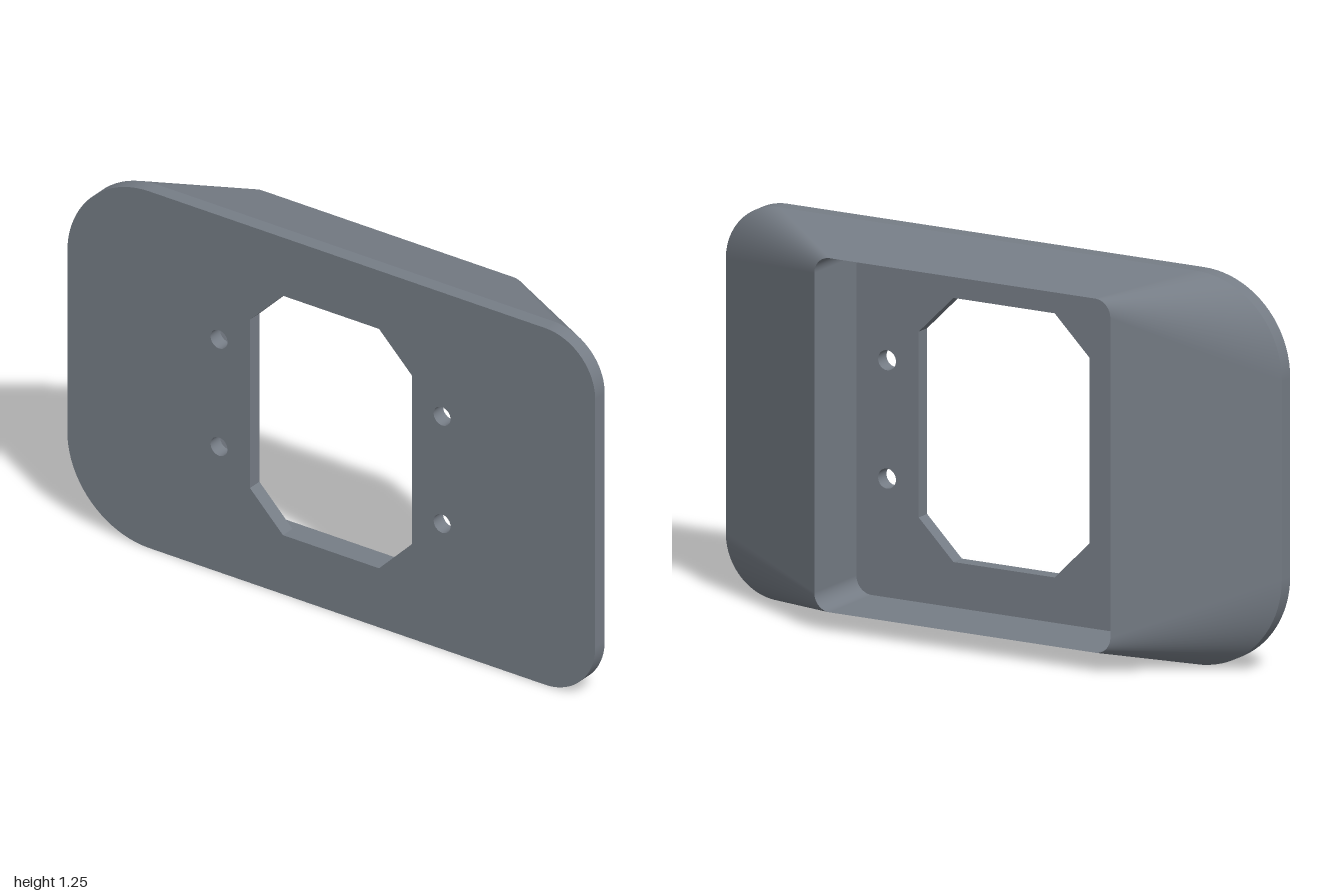
import * as THREE from 'three';

const FRONT = 0.15, FLOOR = 0.1, REAR = -0.15;

// Outline points run anticlockwise; each keeps the angle of its outward normal.
function roundedRect(x0, x1, y0, y1, rRight, rLeft, steps = 20) {
  const corners = [
    [x1 - rRight, y0 + rRight, rRight, -0.5], [x1 - rRight, y1 - rRight, rRight, 0],
    [x0 + rLeft, y1 - rLeft, rLeft, 0.5], [x0 + rLeft, y0 + rLeft, rLeft, 1],
  ];
  const ring = [];
  for (const [cx, cy, r, start] of corners) {
    for (let i = 0; i <= steps; i++) {
      const a = (start + 0.5 * i / steps) * Math.PI;
      ring.push({ x: cx + r * Math.cos(a), y: cy + r * Math.sin(a), a });
    }
  }
  return ring;
}

function circle(cx, cy, r, steps = 32) {
  return Array.from({ length: steps }, (_, i) => {
    const a = i / steps * Math.PI * 2;
    return { x: cx + r * Math.cos(a), y: cy + r * Math.sin(a), a };
  });
}

// Straight-sided outline: both ends of every edge share that edge's normal.
function polygon(points) {
  return points.flatMap(([x, y], i) => {
    const [u, v] = points[(i + 1) % points.length];
    const a = Math.atan2(u - x, y - v);
    return [{ x, y, a: Math.atan2(-(u - x), v - y) }, { x: u, y: v, a: Math.atan2(-(u - x), v - y) }];
  });
}

// Ruled wall between matching outlines; faces outward going back, inward going forward.
function wall(ringA, zA, ringB, zB) {
  const pos = [], nor = [], index = [], n = ringA.length;
  ringA.forEach((p, i) => {
    const q = ringB[i];
    const tangent = new THREE.Vector3(-Math.sin(p.a), Math.cos(p.a), 0);
    const normal = new THREE.Vector3(q.x - p.x, q.y - p.y, zB - zA).cross(tangent).normalize();
    pos.push(p.x, p.y, zA, q.x, q.y, zB);
    nor.push(...normal.toArray(), ...normal.toArray());
    const a = 2 * i, c = 2 * ((i + 1) % n);
    index.push(a, a + 1, c, c, a + 1, c + 1);
  });
  const g = new THREE.BufferGeometry();
  g.setAttribute('position', new THREE.Float32BufferAttribute(pos, 3));
  g.setAttribute('normal', new THREE.Float32BufferAttribute(nor, 3));
  g.setIndex(index);
  return g;
}

// Flat sheet with holes, facing forward or backward.
function sheet(ring, holes, z, backward = false) {
  const s = backward ? -1 : 1;
  const points = (r) => r.map((p) => new THREE.Vector2(s * p.x, p.y));
  const shape = new THREE.Shape(points(ring));
  holes.forEach((h) => shape.holes.push(new THREE.Path(points(h))));
  const g = new THREE.ShapeGeometry(shape);
  if (backward) g.rotateY(Math.PI);
  return g.translate(0, 0, z);
}

export function createModel() {
  const group = new THREE.Group();
  group.name = 'mountingBezel';
  const grey = new THREE.MeshStandardMaterial({ color: 0x767d86 });
  grey.name = 'slate grey';
  const add = (name, geometry) => {
    const mesh = new THREE.Mesh(geometry, grey);
    mesh.name = name;
    group.add(mesh);
  };

  const outer = roundedRect(-1, 1, 0, 1.25, 0.19, 0.31);
  const inner = roundedRect(-0.535, 0.53, 0.063, 1.188, 0.055, 0.055);
  const opening = polygon([
    [-0.183, 0.207], [0.181, 0.207], [0.306, 0.332], [0.306, 0.922],
    [0.181, 1.046], [-0.183, 1.046], [-0.308, 0.922], [-0.308, 0.332],
  ]);
  const screwHoles = [-0.425, 0.42].flatMap((x) => [0.44, 0.816].map((y) => circle(x, y, 0.032)));
  const octagon = opening.filter((_, i) => i % 2 === 0);
  const cutouts = [octagon, ...screwHoles];

  // Front plate and its rim
  add('frontFace', sheet(outer, cutouts, FRONT));
  add('plateRim', wall(outer, FRONT, outer, FLOOR));

  // Sloping shell that narrows to a sharp rear edge
  add('slopedShell', wall(outer, FLOOR, inner, REAR));

  // Rear recess
  add('recessWall', wall(inner, REAR, inner, FLOOR));
  add('recessFloor', sheet(inner, cutouts, FLOOR, true));

  // Edges of the through holes
  add('openingEdge', wall(opening, FLOOR, opening, FRONT));
  screwHoles.forEach((hole, i) => add(`screwHole${i + 1}`, wall(hole, FLOOR, hole, FRONT)));

  return group;
}
